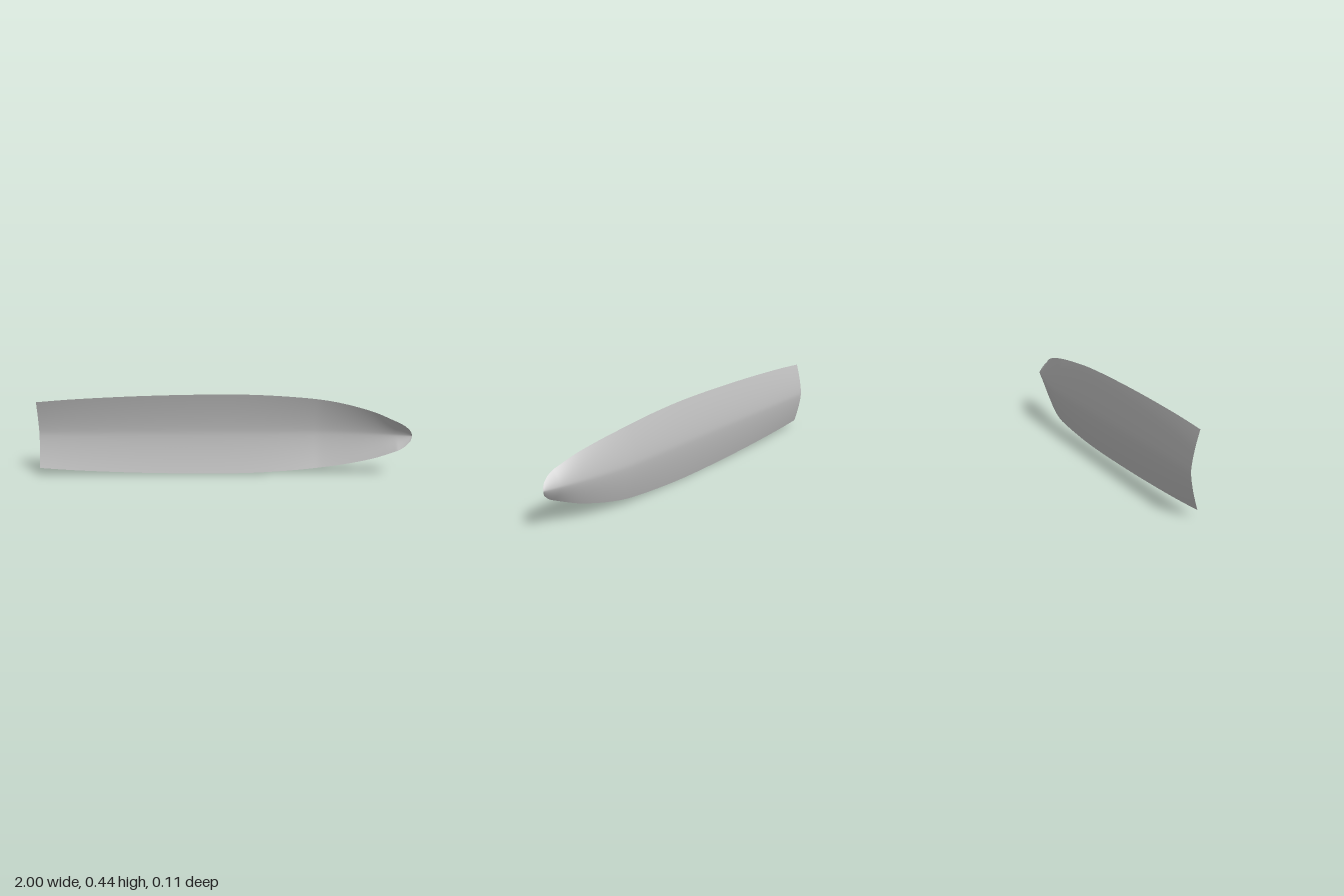
import * as THREE from 'three';

const HALF = 0.219;          // widest half width, also the height of the keel line
const DEPTH = 0.039;         // how far the rims stand in front of the keel

// Half outline of the blade: position along x, half width
const outline = new THREE.SplineCurve([
  [-1, 0.182], [-0.8, 0.197], [-0.5, 0.211], [-0.2, 0.2185], [0.08, 0.219],
  [0.3, 0.209], [0.5, 0.191], [0.65, 0.166], [0.79, 0.13], [0.88, 0.095],
  [0.945, 0.065], [0.98, 0.037], [0.994, 0.017], [1, 0],
].map(([x, h]) => new THREE.Vector2(x, h)));

// Keel line: straight, then sweeping forward towards the tip
const keelZ = (x) => -0.055 + 0.091 * Math.pow(Math.max(0, (x - 0.5) / 0.5), 1.5);

// Curved V shell lofted from cross-sections along the outline
function shellGeometry(rows = 130, cols = 32) {
  const pos = [], index = [];
  for (let i = 0; i <= rows; i++) {
    const p = outline.getPoint(i / rows);
    const h = Math.max(0, p.y);
    const depth = DEPTH * Math.min(1, h / 0.078);
    for (let j = 0; j <= cols; j++) {
      const t = (j / cols) * 2 - 1;
      pos.push(Math.min(1, p.x), HALF + h * t, keelZ(p.x) + depth * Math.pow(Math.abs(t), 1.5));
      if (i < rows && j < cols) {
        const a = i * (cols + 1) + j, b = a + cols + 1;
        index.push(a, b, b + 1);
        index.push(a, b + 1, a + 1);
      }
    }
  }
  const g = new THREE.BufferGeometry();
  g.setAttribute('position', new THREE.Float32BufferAttribute(pos, 3));
  g.setIndex(index);
  g.computeVertexNormals();
  return g;
}

export function createModel() {
  const group = new THREE.Group();
  group.name = 'blade';
  const grey = new THREE.MeshStandardMaterial({ color: 0xc0c0c0, side: THREE.DoubleSide });
  grey.name = 'light grey';
  const shell = new THREE.Mesh(shellGeometry(), grey);
  shell.name = 'bladeShell';
  group.add(shell);
  return group;
}
